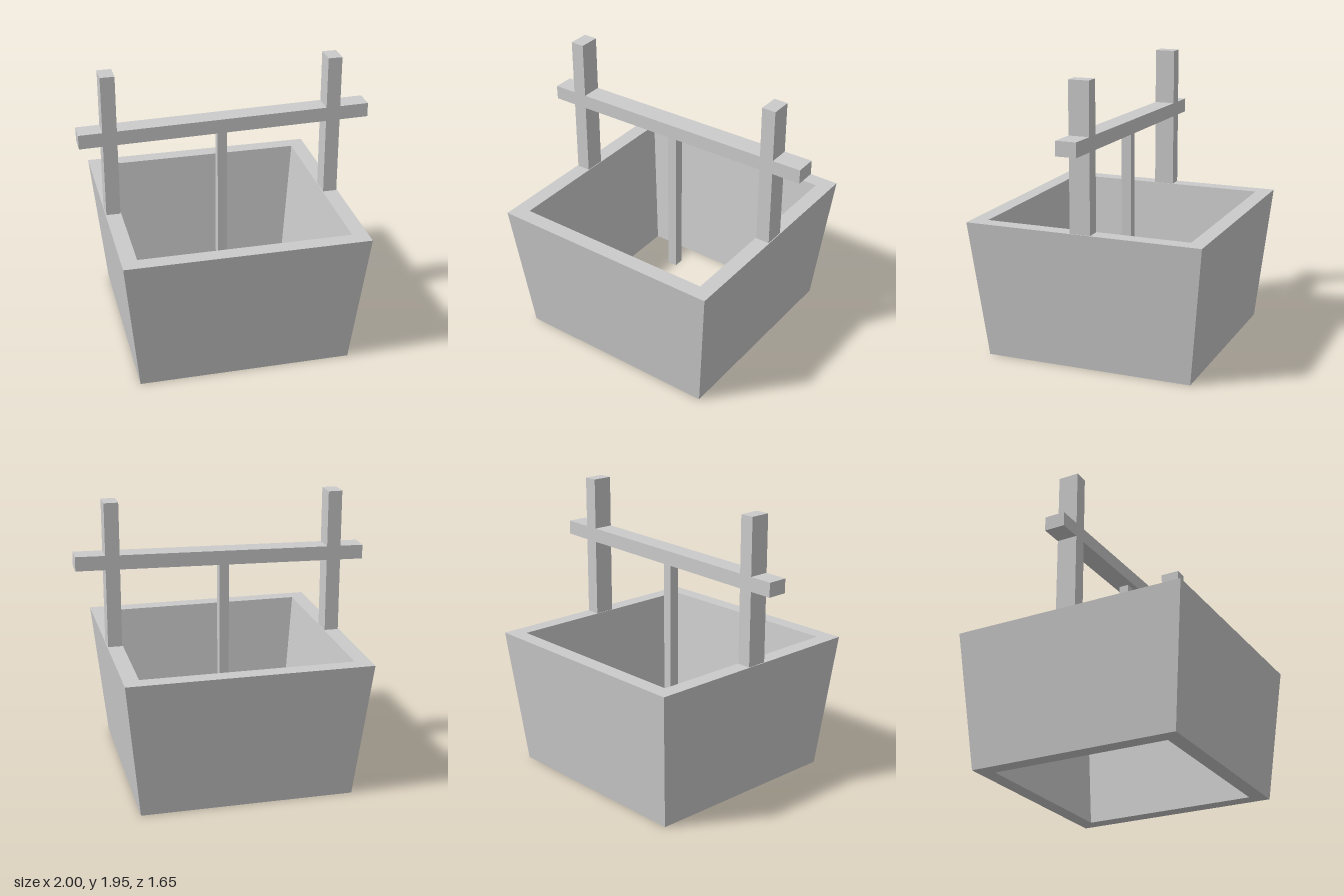
import * as THREE from 'three';

export function createModel() {
  const model = new THREE.Group();
  const material = new THREE.MeshStandardMaterial({ color: 0xcccccc, flatShading: true });
  const centreX = -0.02;

  function addPart(name, geometry, x, y, z = 0) {
    const mesh = new THREE.Mesh(geometry, material);
    mesh.name = name;
    mesh.position.set(x, y, z);
    model.add(mesh);
    return mesh;
  }

  // Flared square basin, open at top and bottom: [half width, height] around the wall section
  const wall = [[0.727, 0], [0.824, 0.953], [0.717, 0.953], [0.621, 0], [0.727, 0]]
    .map(([half, y]) => new THREE.Vector2(half * Math.SQRT2, y));
  const basin = new THREE.LatheGeometry(wall, 4, Math.PI / 4).toNonIndexed();
  basin.computeVertexNormals();
  addPart('basin', basin, centreX, 0);

  // Upright posts standing on the side rims
  const postBottom = 0.95, postTop = 1.95;
  for (const [name, side] of [['leftPost', 1], ['rightPost', -1]]) {
    addPart(name, new THREE.BoxGeometry(0.097, postTop - postBottom, 0.142),
      centreX + side * 0.77, (postBottom + postTop) / 2);
  }

  // Slightly tilted crossbeam passing through both posts
  const beam = addPart('crossbeam', new THREE.BoxGeometry(1.998, 0.098, 0.142), 0, 1.53);
  beam.rotation.z = 0.02;

  // Rod hanging from the beam into the basin
  const rodBottom = 0.4, rodTop = 1.5;
  addPart('hangingRod', new THREE.BoxGeometry(0.066, rodTop - rodBottom, 0.07),
    centreX, (rodBottom + rodTop) / 2);

  return model;
}
